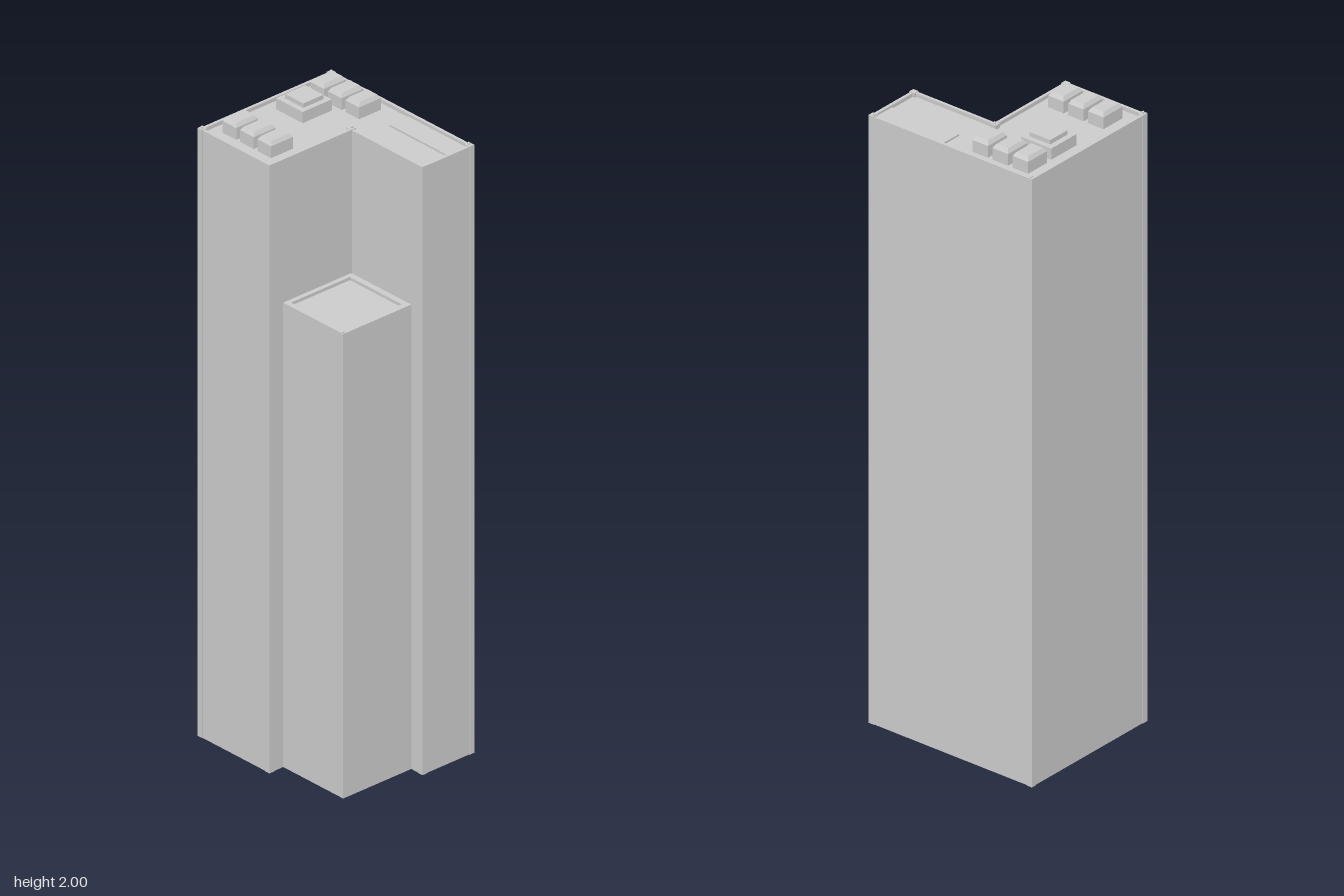
import * as THREE from 'three';

const mat = new THREE.MeshStandardMaterial({ color: 0xcccccc, flatShading: true });

export function createModel() {
  const root = new THREE.Group();

  const add = (name, geo, x = 0, y = 0, z = 0, parent = root) => {
    const m = new THREE.Mesh(geo, mat);
    m.name = name;
    m.position.set(x, y, z);
    parent.add(m);
    return m;
  };

  // box given by its ranges on the three axes
  const block = (name, x0, x1, y0, y1, z0, z1, parent = root) =>
    add(name, new THREE.BoxGeometry(x1 - x0, y1 - y0, z1 - z0),
      (x0 + x1) / 2, (y0 + y1) / 2, (z0 + z1) / 2, parent);

  // upright prism from a plan of [x, z] points, with an optional hole
  const prism = (plan, y0, y1, hole) => {
    const pts = (list) => list.map(([x, z]) => new THREE.Vector2(x, -z));
    const shape = new THREE.Shape(pts(plan));
    if (hole) shape.holes.push(new THREE.Path(pts(hole)));
    const geo = new THREE.ExtrudeGeometry(shape, { depth: y1 - y0, bevelEnabled: false });
    return geo.rotateX(-Math.PI / 2).translate(0, y0, 0);
  };

  // corners of the L-shaped plan, moved inwards by d
  const lPlan = (d) => [
    [-0.299 + d, -0.256 + d], [-0.299 + d, 0.253 - d], [-0.001 - d, 0.253 - d],
    [-0.001 - d, -0.061 - d], [0.299 - d, -0.061 - d], [0.299 - d, -0.256 + d],
  ];
  const rect = (x0, x1, z0, z1) => [[x0, z0], [x0, z1], [x1, z1], [x1, z0]];

  // main L-shaped tower with a low parapet
  const roofY = 1.95, topY = 1.962;
  add('mainTower', prism(lPlan(0), 0, roofY));
  add('mainParapet', prism(lPlan(0), roofY, topY, lPlan(0.01)));

  // corner posts, standing slightly proud of the walls
  lPlan(0.0075).forEach(([x, z]) =>
    block('cornerPost', x - 0.0095, x + 0.0095, 0, topY + 0.002, z - 0.0095, z + 0.0095));

  // lower tower in the notch, with a sunken roof
  const low = rect(-0.001, 0.252, -0.061, 0.2);
  add('lowerTower', prism(low, 0, 1.49));
  add('lowerParapet', prism(low, 1.49, 1.5, rect(0.014, 0.233, -0.042, 0.183)));

  // rooftop cooling units in two rows of three
  const unit = (x, z) => {
    const g = new THREE.Group();
    g.name = 'coolingUnit';
    root.add(g);
    block('unitBody', x - 0.0285, x + 0.0285, roofY, 1.988, z - 0.042, z + 0.042, g);
    // tapered cap
    const cap = new THREE.BoxGeometry(0.057, 0.012, 0.084);
    const p = cap.attributes.position;
    for (let i = 0; i < p.count; i++) {
      if (p.getY(i) > 0) p.setXYZ(i, p.getX(i) * 0.74, p.getY(i), p.getZ(i) * 0.8);
    }
    cap.computeVertexNormals();
    add('unitCap', cap, x, 1.994, z, g);
  };
  for (let i = 0; i < 3; i++) {
    unit(-0.226 + i * 0.074, -0.177);
    unit(-0.222 + i * 0.0735, 0.163);
  }

  // stepped machine room
  block('machineRoomBase', -0.252, -0.14, roofY, 1.986, -0.113, -0.001);
  block('machineRoomTop', -0.234, -0.157, 1.986, 2, -0.096, -0.019);

  // flat roof panel on the back wing
  block('roofPanel', 0.04, 0.288, roofY, roofY + 0.006, -0.242, -0.17);

  // small beacons on the corners
  const bead = new THREE.SphereGeometry(0.004, 10, 8);
  [[-0.292, -0.249], [0.288, -0.249], [-0.008, -0.07], [-0.292, 0.247]]
    .forEach(([x, z]) => add('beacon', bead, x, topY + 0.005, z));
  add('beacon', bead, 0.245, 1.503, 0.194);

  return root;
}
